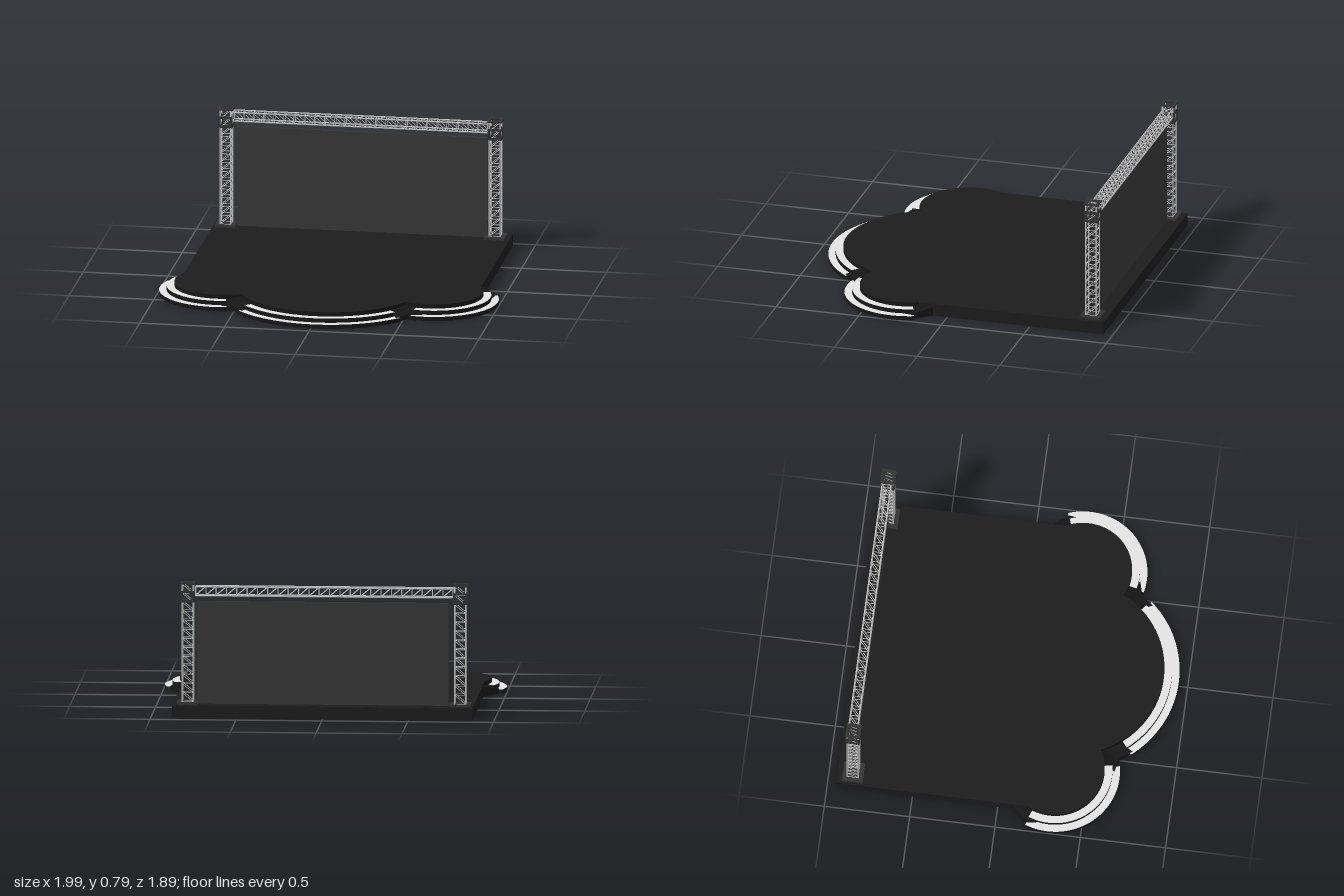
import * as THREE from 'three';
import { mergeGeometries } from 'three/addons/utils/BufferGeometryUtils.js';

const mat = (name, color, side = THREE.FrontSide) => {
  const m = new THREE.MeshStandardMaterial({ color, side });
  m.name = name;
  return m;
};

export function createModel() {
  const black = mat('stage black', 0x1c1c1c, THREE.DoubleSide);
  const riserBlack = mat('riser black', 0x161616, THREE.DoubleSide);
  const treadGrey = mat('tread light grey', 0xe4e4e4, THREE.DoubleSide);
  const screenGrey = mat('screen grey', 0x383838);
  const steel = mat('truss steel', 0xc0c0c0, THREE.DoubleSide);
  const darkSteel = mat('dark steel', 0x333333);

  const model = new THREE.Group();
  model.name = 'stage';
  const add = (name, geometry, material, parent = model) => {
    const mesh = new THREE.Mesh(geometry, material);
    mesh.name = name;
    parent.add(mesh);
    return mesh;
  };
  const box = (w, h, d, x, y, z) => new THREE.BoxGeometry(w, h, d).translate(x, y, z);
  const V = (x, y, z) => new THREE.Vector3(x, y, z);

  // Deck top: a rectangle ending in three round lobes, hollow underneath
  const H = 0.075, back = -0.945, side = 0.874, PI = Math.PI;
  const lobes = [
    { x: 0.62, z: 0.305, r: [0.287, 0.332, 0.376], arc: [-0.49, 2.024], stair: [-0.36, 1.78] },
    { x: 0.012, z: 0.318, r: [0.54, 0.585, 0.628], arc: [0.467, PI - 0.4455], stair: [0.71, PI - 0.71] },
    { x: -0.62, z: 0.305, r: [0.287, 0.332, 0.376], arc: [1.042, PI + 0.49], stair: [PI - 1.78, PI + 0.36] },
  ];
  const outline = [new THREE.Vector2(-side, -back), new THREE.Vector2(side, -back)];
  for (const l of lobes) {
    for (let i = 0; i <= 28; i++) {
      const a = THREE.MathUtils.lerp(l.arc[0], l.arc[1], i / 28);
      outline.push(new THREE.Vector2(l.x + l.r[0] * Math.cos(a), -(l.z + l.r[0] * Math.sin(a))));
    }
  }
  const deck = new THREE.ShapeGeometry(new THREE.Shape(outline));
  add('deckTop', deck.rotateX(-PI / 2).translate(0, H, 0), black);

  // Straight skirts at the back and sides
  const t = 0.004, front = 0.17;
  add('backSkirt', box(2 * side, H - 0.001, t, 0, H / 2 - 0.0005, back + t / 2), black);
  for (const s of [-1, 1]) {
    add('sideSkirt', box(t, H - 0.001, front - back, s * (side - t / 2), H / 2 - 0.0005, (front + back) / 2), black);
  }

  // Two curved steps around each lobe, as an open shell of risers and treads
  for (const l of lobes) {
    const steps = new THREE.Group();
    steps.name = 'curvedSteps';
    steps.position.set(l.x, 0, l.z);
    model.add(steps);
    l.r.forEach((r, k) => {
      const [a0, a1] = k ? l.stair : l.arc, top = H - 0.025 * k;
      const riser = new THREE.CylinderGeometry(r, r, 0.025, 32, 1, true, PI / 2 - a1, a1 - a0);
      add('riser', riser.translate(0, top - 0.0125, 0), riserBlack, steps);
      if (k === 0) return;
      const tread = new THREE.RingGeometry(l.r[k - 1], r, 32, 1, -a1, a1 - a0);
      add('tread', tread.rotateX(-PI / 2).translate(0, top, 0), treadGrey, steps);
    });
  }

  // Sloping cheeks closing the ends of the steps; corners are two inner, two outer (x, z)
  const cheek = (corners, s, dx) => {
    const g = new THREE.BoxGeometry(1, 1, 1), p = g.attributes.position;
    for (let i = 0; i < p.count; i++) {
      const outer = p.getX(i) > 0;
      const c = corners[(outer ? 2 : 0) + (p.getZ(i) > 0 ? 1 : 0)];
      p.setXYZ(i, s * c[0] + dx, p.getY(i) > 0 ? (outer ? 0.028 : 0.056) : 0, c[1]);
    }
    g.computeVertexNormals();
    add('stepCheek', g, riserBlack);
  };
  for (const s of [-1, 1]) {
    cheek([[0.87, 0.08], [0.87, 0.19], [0.957, 0.185], [0.945, 0.255]], s, 0);
    cheek([[0.49, 0.555], [0.415, 0.645], [0.513, 0.66], [0.455, 0.735]], s, 0.012);
    cheek([[0.54, 0.575], [0.485, 0.555], [0.592, 0.645], [0.513, 0.665]], s, 0.012);
  }

  // Round bar between two points
  const bar = (a, b, r) => {
    const d = b.clone().sub(a);
    const g = new THREE.CylinderGeometry(r, r, d.length(), 14, 1, true);
    g.applyQuaternion(new THREE.Quaternion().setFromUnitVectors(V(0, 1, 0), d.clone().normalize()));
    return g.translate(...a.clone().add(b).multiplyScalar(0.5).toArray());
  };

  // Square lattice truss along y; diagonals run parallel on opposite faces
  const latticeTruss = (length, half, bays) => {
    const parts = [], c = [[-1, -1], [1, -1], [1, 1], [-1, 1]];
    const at = (i, y) => V(c[i % 4][0] * half, y, c[i % 4][1] * half);
    const step = length / bays;
    for (let i = 0; i < 4; i++) {
      const flip = i === 1 || i === 2 ? 1 : 0;
      parts.push(bar(at(i, 0), at(i, length), 0.0042));
      for (let k = 0; k <= bays; k++) {
        parts.push(bar(at(i, k * step), at(i + 1, k * step), 0.002));
        if (k < bays) parts.push(bar(at(i, (k + flip) * step), at(i + 1, (k + 1 - flip) * step), 0.002));
      }
    }
    return mergeGeometries(parts);
  };

  // Open square frame of flat bars, lying level
  const frame = (w, b, h, y) => {
    const o = (w - b) / 2, parts = [];
    for (const s of [-1, 1]) {
      parts.push(box(w, h, b, 0, y, s * o));
      parts.push(box(b, h, w - 2 * b, s * o, y, 0));
    }
    return parts;
  };

  // Towers with base plate, corner sleeve and top frame
  const tz = -0.855;
  for (const x of [-0.799, 0.787]) {
    const tower = new THREE.Group();
    tower.name = 'tower';
    tower.position.set(x, 0, tz);
    model.add(tower);
    add('basePlate', box(0.122, 0.02, 0.122, 0, H + 0.004, 0), darkSteel, tower);
    add('towerTruss', latticeTruss(0.69, 0.032, 13).translate(0, 0.089, 0), steel, tower);
    const sleeve = [...frame(0.082, 0.013, 0.013, 0.68), ...frame(0.082, 0.013, 0.013, 0.734)];
    for (const sx of [-1, 1]) for (const sz of [-1, 1]) {
      sleeve.push(box(0.013, 0.041, 0.013, sx * 0.0345, 0.707, sz * 0.0345));
    }
    add('cornerSleeve', mergeGeometries(sleeve), darkSteel, tower);
    add('topFrame', mergeGeometries(frame(0.086, 0.016, 0.009, 0.782)), darkSteel, tower);
  }

  // Overhead truss between the towers
  const beam = latticeTruss(1.5, 0.026, 25).rotateZ(-PI / 2);
  add('overheadTruss', beam.translate(-0.757, 0.738, tz - 0.005), steel);

  // Backdrop screen
  add('screen', box(1.468, 0.602, 0.012, 0.003, H + 0.301, tz), screenGrey);
  return model;
}
